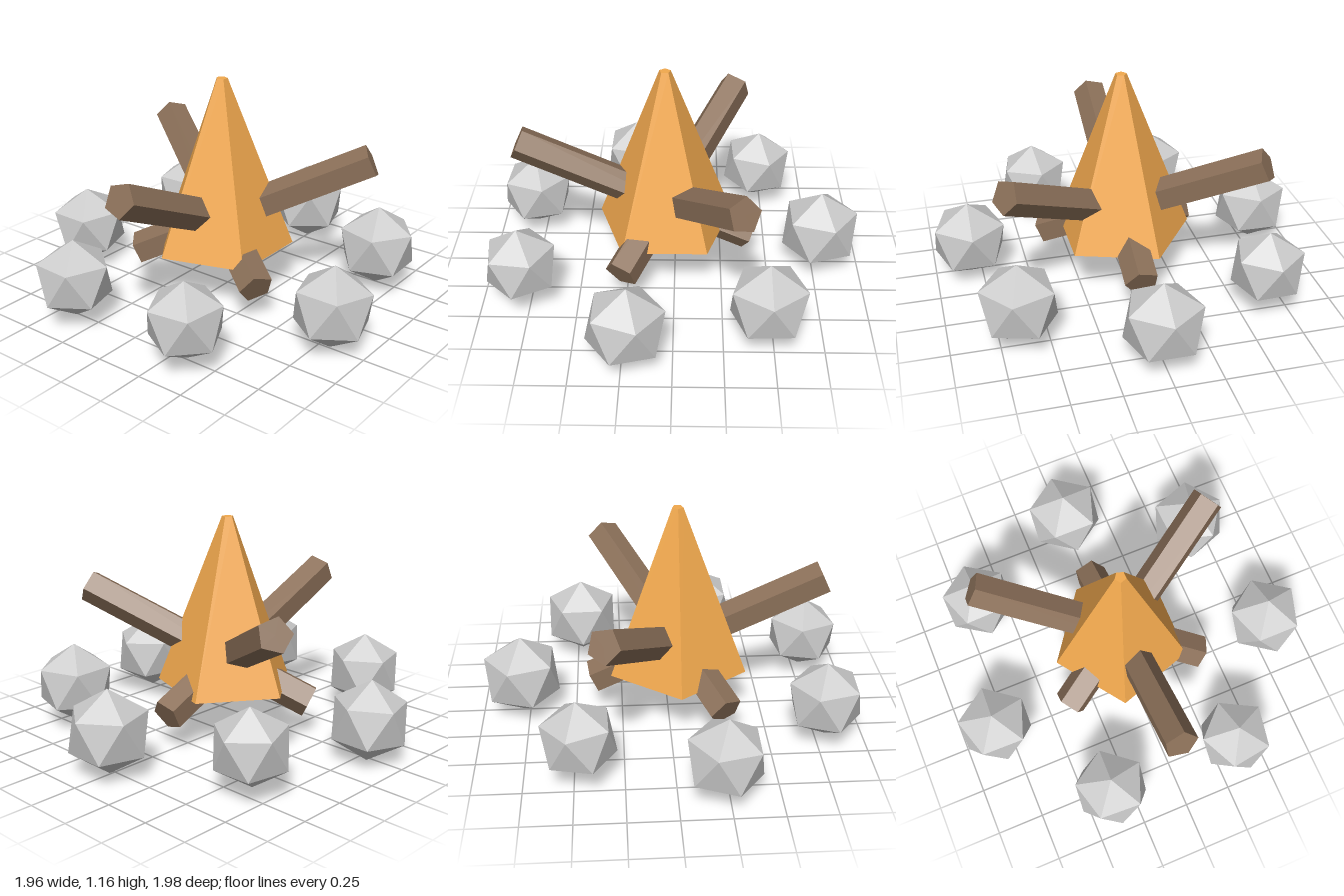
import * as THREE from 'three';

const material = (color) => new THREE.MeshStandardMaterial({ color, flatShading: true });

export function createModel() {
  const model = new THREE.Group();
  model.name = 'campfire';
  const wood = material(0x8a6f58);
  const stone = material(0xcccccc);
  const add = (name, geometry, mat, parent) => {
    const mesh = new THREE.Mesh(geometry, mat);
    mesh.name = name;
    parent.add(mesh);
    return mesh;
  };

  // Fire and logs share a centre slightly right of the origin
  const fire = new THREE.Group();
  fire.name = 'fire';
  fire.position.x = -0.05;
  model.add(fire);

  // Five-sided flame with a small flat tip, one corner to the back
  const flameGeometry = new THREE.CylinderGeometry(0.03, 0.375, 0.9, 5, 1, false, Math.PI);
  add('flame', flameGeometry, material(0xf2a94e), fire).position.y = 0.72;

  // Three leaning logs crossing inside the flame
  const logGeometry = new THREE.CylinderGeometry(0.091, 0.091, 1.34, 5);
  logGeometry.rotateZ(Math.atan2(1.22, 0.56));
  logGeometry.translate(-0.16, 0.48, 0);
  for (let i = 0; i < 3; i++) {
    add('log' + (i + 1), logGeometry, wood, fire).rotation.y = (i * Math.PI * 2) / 3;
  }

  // Ring of stones, pole up: [radius, height, yaw in degrees, tilt]
  const stoneGeometry = new THREE.IcosahedronGeometry(1, 0);
  stoneGeometry.rotateZ(-Math.atan(2) / 2);
  const stones = [
    [0.22, 0.23, 0, 0], [0.218, 0.24, 16, 0], [0.215, 0.22, 0, -0.05], [0.205, 0.245, -8, 0.04],
    [0.208, 0.24, 3, 0], [0.212, 0.22, 1, 0.05], [0.205, 0.245, -2, -0.05],
  ];
  const ring = new THREE.Group();
  ring.name = 'stoneRing';
  model.add(ring);
  stones.forEach(([radius, height, yaw, tilt], i) => {
    const a = (i * Math.PI * 2) / stones.length;
    const mesh = add('stone' + (i + 1), stoneGeometry, stone, ring);
    mesh.scale.setScalar(radius);
    mesh.position.set(-0.045 + 0.828 * Math.cos(a), height, 0.828 * Math.sin(a));
    mesh.rotation.set(0, THREE.MathUtils.degToRad(-yaw), tilt);
  });

  return model;
}
